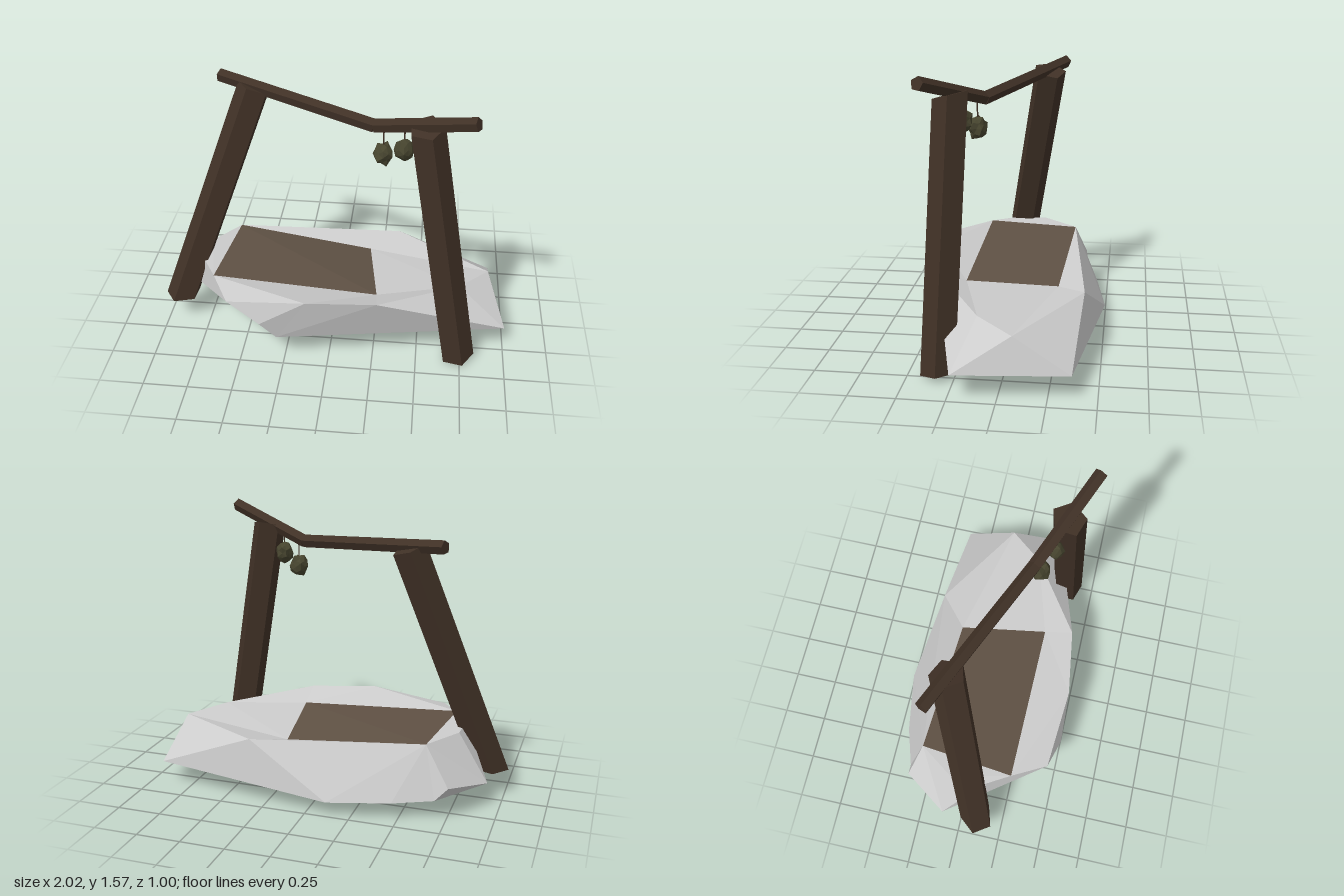
import * as THREE from 'three';

const mat = (color) => new THREE.MeshStandardMaterial({ color, flatShading: true, side: THREE.DoubleSide });
const stone = mat(0xcccccc);
const wood = mat(0x403126);
const soil = mat(0x5f5144);
const olive = mat(0x47452f);

function add(parent, name, geometry, material) {
  const mesh = new THREE.Mesh(geometry, material);
  mesh.name = name;
  parent.add(mesh);
  return mesh;
}

// Straight faceted bar between two points; each end may be cut on a slope [dy/dx, dy/dz]
function bar(parent, name, from, to, radius, sides, turn, material, footCut, headCut) {
  const a = new THREE.Vector3(...from), b = new THREE.Vector3(...to);
  const dir = b.clone().sub(a);
  const length = dir.length();
  dir.normalize();
  const geo = new THREE.CylinderGeometry(radius, radius, length, sides).rotateY(turn);
  const half = geo.attributes.position.clone();
  geo.applyQuaternion(new THREE.Quaternion().setFromUnitVectors(new THREE.Vector3(0, 1, 0), dir));
  geo.translate((a.x + b.x) / 2, (a.y + b.y) / 2, (a.z + b.z) / 2);
  const p = geo.attributes.position;
  const v = new THREE.Vector3(), off = new THREE.Vector3();
  for (let i = 0; i < p.count; i++) {
    const foot = half.getY(i) < 0;
    const cut = foot ? footCut : headCut;
    if (!cut) continue;
    // slide the corner along the bar onto the cutting plane
    v.fromBufferAttribute(p, i);
    off.copy(v).sub(foot ? a : b);
    const gap = cut[0] * off.x + cut[1] * off.z - off.y;
    v.addScaledVector(dir, gap / (dir.y - cut[0] * dir.x - cut[1] * dir.z));
    p.setXYZ(i, v.x, v.y, v.z);
  }
  geo.computeVertexNormals();
  return add(parent, name, geo, material);
}

// Corners of the boulder shell
const P = {
  // lower rim
  L: [-0.93, 0.15, -0.11], F: [-0.29, 0.17, 0.47], T: [1.0, 0.15, 0.23], R: [0.92, 0.14, -0.37],
  K: [-0.12, 0.09, -0.5], U: [-0.47, 0.11, -0.44], M: [-0.69, 0.125, -0.37], S: [-0.76, 0.2, -0.36],
  // shoulder
  Q: [-0.76, 0.42, -0.09], N: [-0.765, 0.415, 0.11], E: [-0.57, 0.385, 0.45],
  D: [-0.38, 0.28, 0.5], C: [-0.12, 0.435, 0.485], G: [0.27, 0.415, 0.43],
  H: [0.73, 0.355, 0.13], B: [0.9, 0.33, -0.07], A: [0.36, 0.36, -0.4],
  // corners of the earth patch
  a: [-0.62, 0.41, -0.29], b: [0.19, 0.32, -0.245],
  c: [0.26, 0.36, 0.265], d: [-0.68, 0.415, 0.255],
};

// Triangles from corner letters, each turned to face outward
function shell(faces) {
  const pos = [];
  const n = new THREE.Vector3(), mid = new THREE.Vector3();
  for (const face of faces.split(' ')) {
    const t = [...face].map((k) => new THREE.Vector3(...P[k]));
    new THREE.Triangle(...t).getNormal(n);
    mid.copy(t[0]).add(t[1]).add(t[2]);
    if (n.dot(mid) < 0) t.reverse();
    t.forEach((v) => pos.push(v.x, v.y, v.z));
  }
  const geo = new THREE.BufferGeometry();
  geo.setAttribute('position', new THREE.Float32BufferAttribute(pos, 3));
  geo.computeVertexNormals();
  return geo;
}

// Lumpy faceted fruit
function gourd(radius, phase) {
  const geo = new THREE.IcosahedronGeometry(radius, 1);
  const p = geo.attributes.position;
  for (let i = 0; i < p.count; i++) {
    const x = p.getX(i) / radius, y = p.getY(i) / radius, z = p.getZ(i) / radius;
    const k = 1 + 0.2 * Math.sin(4 * x + phase) * Math.cos(5 * z + 3 * y + phase);
    p.setXYZ(i, p.getX(i) * k, p.getY(i) * k * 1.2, p.getZ(i) * k);
  }
  geo.computeVertexNormals();
  return geo;
}

export function createModel() {
  const model = new THREE.Group();
  model.name = 'boulderWithTimberFrame';

  // Open-bottomed boulder: skirt, then the band around the patch
  const boulder = new THREE.Group();
  boulder.name = 'boulder';
  model.add(boulder);
  add(boulder, 'boulderSides',
    shell('LFD LDE LEN LNQ LQa LaS LSM SaM MaU UaK KaA KAR ARB RBT TBH THG TGF FGC FCD DCE'), stone);
  add(boulder, 'boulderTop', shell('abA AbB BbH bcH cGH cCG cdC dEC dNE dQN daQ'), stone);
  add(boulder, 'earthPatch', shell('adc acb'), soil);

  // Leaning posts
  bar(model, 'leftPost', [0.735, 0.025, 0.335], [0.49, 1.45, 0.288], 0.096, 5, 0.3, wood,
    [0.15, -0.12], [0.1, -0.25]);
  bar(model, 'rightPost', [-0.915, 0.155, 0.1], [-0.465, 1.435, -0.13], 0.096, 5, 0.9, wood, [0, 0]);

  // Bent crossbeam in two lengths
  const beam = new THREE.Group();
  beam.name = 'crossbeam';
  model.add(beam);
  const bend = [0.22, 1.385, 0.165];
  bar(beam, 'longBeam', [-0.672, 1.462, -0.208], bend, 0.038, 5, 0.4, wood);
  bar(beam, 'shortBeam', bend, [0.742, 1.542, 0.405], 0.038, 5, 0.4, wood);

  // Hanging gourds on cords
  [[0.27, 1.235, 0.19, 0.052, 0.4], [0.38, 1.295, 0.245, 0.05, 2.1]].forEach(([x, y, z, r, phase]) => {
    const hanging = new THREE.Group();
    hanging.name = 'hangingGourd';
    model.add(hanging);
    add(hanging, 'gourd', gourd(r, phase), olive).position.set(x, y, z);
    bar(hanging, 'cord', [x, y, z], [x, 1.4, z], 0.004, 4, 0, wood);
  });

  return model;
}
